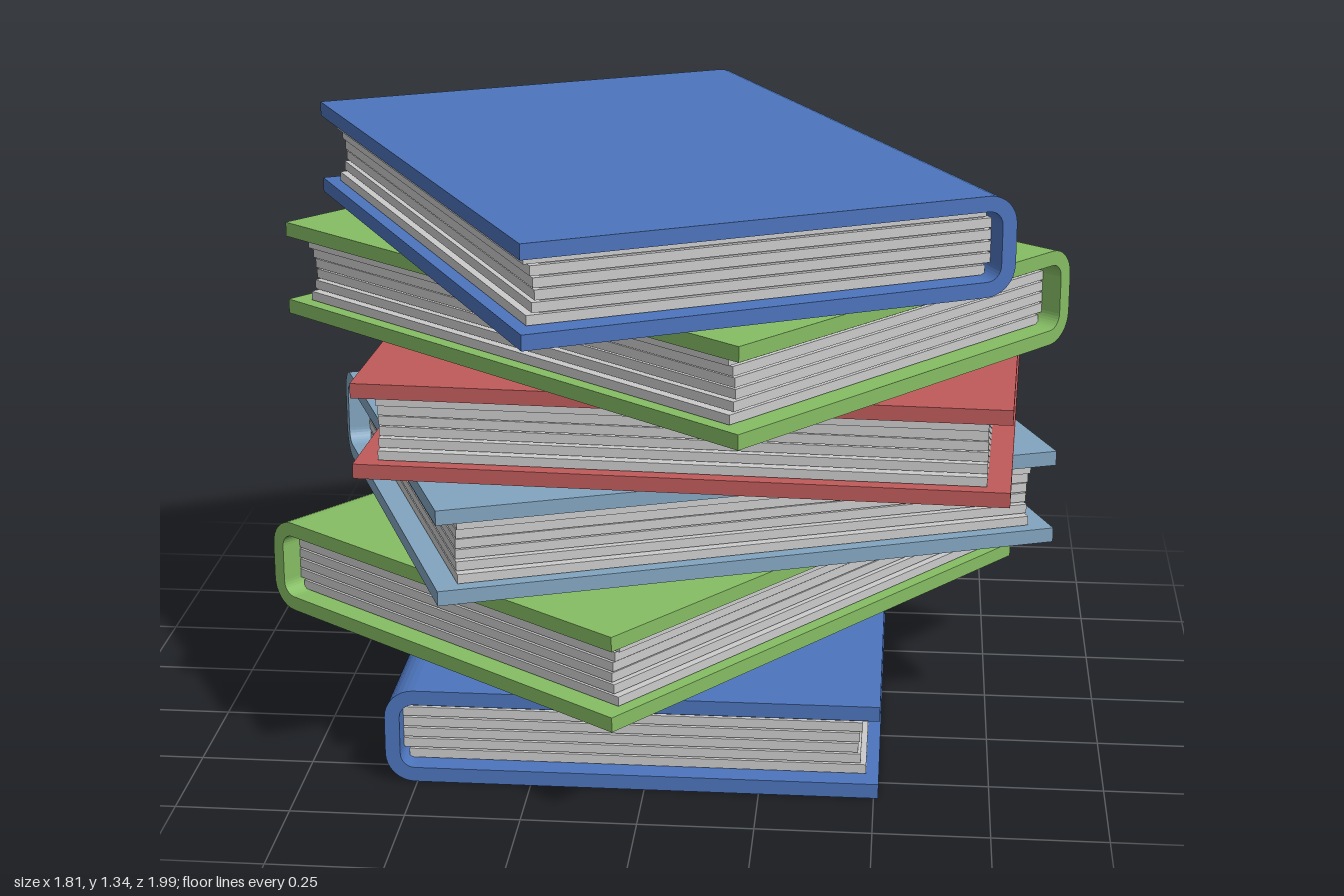
import * as THREE from 'three';

const W = 1.08, H = 0.215, D = 1.41; // book width, thickness, length
const T = 0.033;                     // cover board thickness
const INSET = 0.05;                  // page block set back from the cover edges
const STEP = 0.224;                  // vertical spacing in the stack

const BLUE = 0x4c74bc, GREEN = 0x85bd64, RED = 0xbf5a5a, PALE = 0x82a5c0;

// Extrude a profile along z, centred on z = 0
function extrude(shape, depth) {
  const geo = new THREE.ExtrudeGeometry(shape, { depth, bevelEnabled: false, curveSegments: 4 });
  return geo.translate(0, 0, -depth / 2);
}

// U-shaped wrap: two boards joined by a spine with rounded corners at -x
function coverGeometry() {
  const l = -W / 2, r = W / 2, R = 0.065, q = R - T;
  const s = new THREE.Shape();
  s.moveTo(r, 0);
  s.lineTo(r, T);
  s.lineTo(l + R, T);
  s.absarc(l + R, R, q, -Math.PI / 2, -Math.PI, true);
  s.lineTo(l + T, H - R);
  s.absarc(l + R, H - R, q, Math.PI, Math.PI / 2, true);
  s.lineTo(r, H - T);
  s.lineTo(r, H);
  s.lineTo(l + R, H);
  s.absarc(l + R, H - R, R, Math.PI / 2, Math.PI, false);
  s.lineTo(l, R);
  s.absarc(l + R, R, R, Math.PI, Math.PI * 1.5, false);
  return extrude(s, D);
}

// Page block: slabs with a hollow, uneven fore edge and a narrow groove between them
function pagesGeometry() {
  const foreEdge = [0.512, 0.5, 0.494, 0.497, 0.503, 0.516];
  const n = foreEdge.length, pitch = (H - 2 * T) / n, gap = 0.004;
  const start = -W / 2 + T;
  return foreEdge.map((end, i) => {
    const outer = i === 0 || i === n - 1;
    const x0 = start + (outer ? 0.012 : 0);
    const geo = new THREE.BoxGeometry(end - x0, pitch - gap, D - 2 * INSET);
    return geo.translate((end + x0) / 2, T + pitch * (i + 0.5), 0);
  });
}

function createBook(name, color, parts) {
  const book = new THREE.Group();
  book.name = name;
  const cover = new THREE.Mesh(parts.cover,
    new THREE.MeshStandardMaterial({ color, flatShading: true }));
  cover.name = 'cover';
  const pages = new THREE.Group();
  pages.name = 'pages';
  for (const geo of [...parts.pages, parts.core]) {
    const mesh = new THREE.Mesh(geo, parts.paper);
    mesh.name = geo === parts.core ? 'pageCore' : 'pageLayer';
    pages.add(mesh);
  }
  book.add(cover, pages);
  return book;
}

export function createModel() {
  const model = new THREE.Group();
  model.name = 'bookStack';

  // Core fills the grooves just behind the page edges
  const coreW = 0.48 + W / 2 - T - 0.012;
  const parts = {
    cover: coverGeometry(),
    pages: pagesGeometry(),
    core: new THREE.BoxGeometry(coreW, H - 2 * T - 0.004, D - 2 * INSET - 0.02)
      .translate(0.48 - coreW / 2, H / 2, 0),
    paper: new THREE.MeshStandardMaterial({ color: 0xcccccc, flatShading: true }),
  };

  // Bottom to top: colour, x, z, turn in degrees
  const books = [
    ['bottomBook', BLUE, -0.03, -0.125, 0],
    ['secondBook', GREEN, -0.048, -0.11, -37.5],
    ['thirdBook', PALE, 0.033, -0.097, -69],
    ['fourthBook', RED, 0.092, -0.01, 267.3],
    ['fifthBook', GREEN, 0.015, 0.03, 230.7],
    ['topBook', BLUE, -0.036, 0.12, 207],
  ];
  books.forEach(([name, color, x, z, turn], i) => {
    const book = createBook(name, color, parts);
    book.position.set(x, i * STEP, z);
    book.rotation.y = THREE.MathUtils.degToRad(turn);
    model.add(book);
  });
  return model;
}
